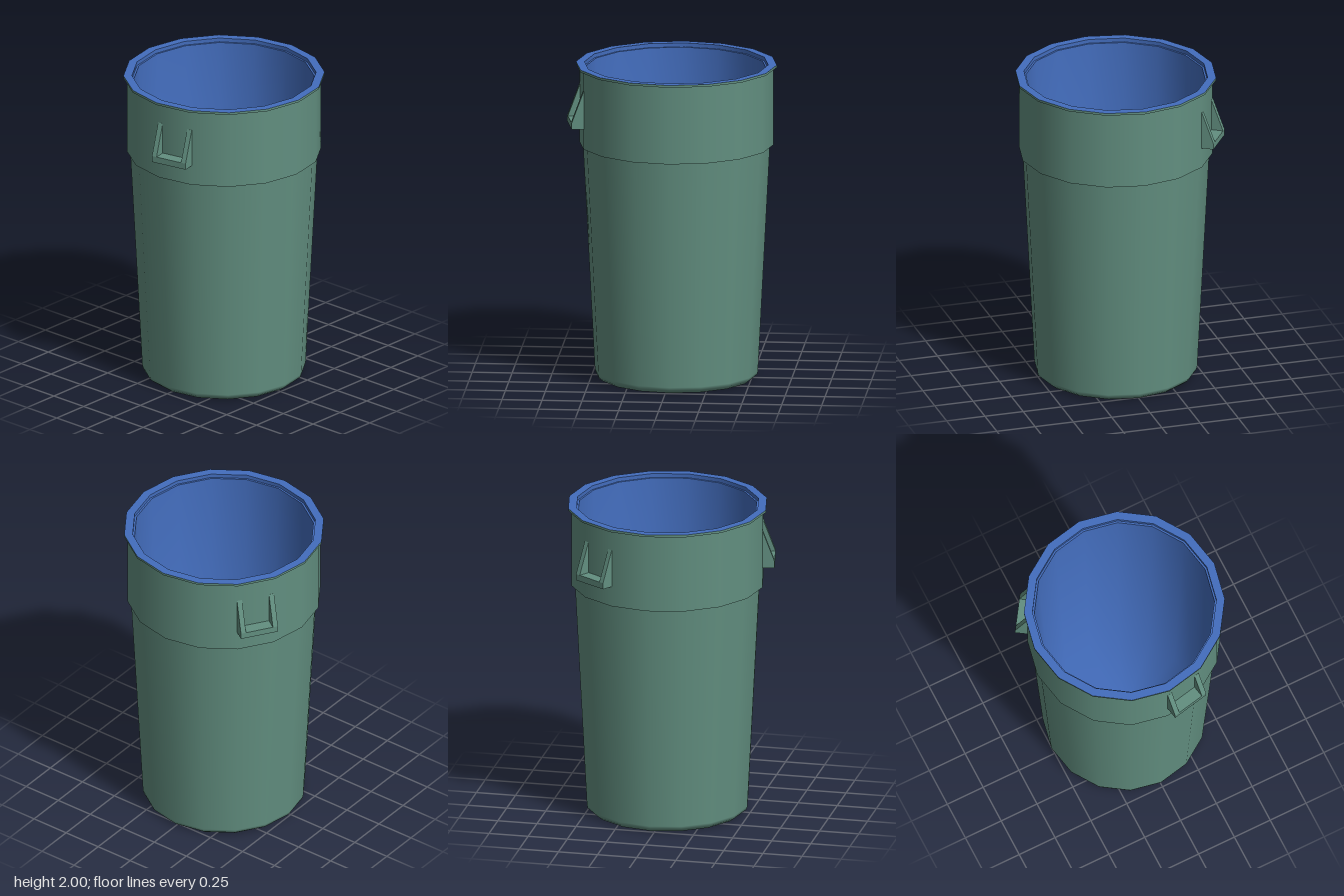
import * as THREE from 'three';

const SIDES = 16;
const green = new THREE.MeshStandardMaterial({ color: 0x628f80 });
green.name = 'green plastic';
const blue = new THREE.MeshStandardMaterial({ color: 0x436dbd });
blue.name = 'blue lining';

// Sixteen-sided turned surface; profile runs up the outside, down the inside
function turned(name, profile, material) {
  const points = profile.map(([r, y]) => new THREE.Vector2(r, y));
  const mesh = new THREE.Mesh(new THREE.LatheGeometry(points, SIDES), material);
  mesh.name = name;
  return mesh;
}

// Bracket handle: a bottom ledge between two wedge-shaped cheeks
function handle(name, angle) {
  const group = new THREE.Group();
  group.name = name;
  const half = 0.122, cheek = 0.033, inner = 0.58, outer = 0.671;

  const ledge = new THREE.Mesh(
    new THREE.BoxGeometry(2 * (half - cheek), 0.04, outer - inner), green);
  ledge.name = 'handleLedge';
  ledge.position.set(0, 1.64, (inner + outer) / 2);
  group.add(ledge);

  const side = new THREE.Shape([
    [inner, 1.62], [outer, 1.62], [outer, 1.66], [0.596, 1.86], [inner, 1.86],
  ].map(([d, y]) => new THREE.Vector2(d, y)));
  const wedge = new THREE.ExtrudeGeometry(side, { depth: cheek, bevelEnabled: false });
  wedge.rotateY(-Math.PI / 2);
  for (const x of [half, -half + cheek]) {
    const mesh = new THREE.Mesh(wedge, green);
    mesh.name = 'handleCheek';
    mesh.position.x = x;
    group.add(mesh);
  }
  group.rotation.y = angle;
  return group;
}

export function createModel() {
  const model = new THREE.Group();
  model.name = 'bin';

  // Outside shell
  model.add(
    turned('base', [[0, 0], [0.48, 0]], green),
    turned('body', [[0.48, 0], [0.505, 0.02], [0.51, 0.04], [0.585, 1.49]], green),
    turned('collarUnderside', [[0.585, 1.49], [0.607, 1.49]], green),
    turned('collar', [[0.607, 1.49], [0.607, 1.985]], green),
    turned('rimUnderside', [[0.607, 1.985], [0.628, 1.985]], green),
    turned('rimEdge', [[0.628, 1.985], [0.628, 2]], green),
  );

  // Blue rim top, inner lip and lining
  model.add(
    turned('rimTop', [[0.628, 2], [0.575, 2]], blue),
    turned('lipWall', [[0.575, 2], [0.575, 1.975]], blue),
    turned('lipStep', [[0.575, 1.975], [0.563, 1.975]], blue),
    turned('lining', [[0.563, 1.975], [0.48, 0.03], [0, 0.03]], blue),
  );

  // Handles sit on the flat centres of two collar faces
  const step = (2 * Math.PI) / SIDES;
  model.add(handle('frontHandle', step / 2), handle('backHandle', -5.5 * step));

  // The bin sits slightly back so the whole is centred
  model.position.z = -0.028;
  const root = new THREE.Group();
  root.add(model);
  return root;
}
